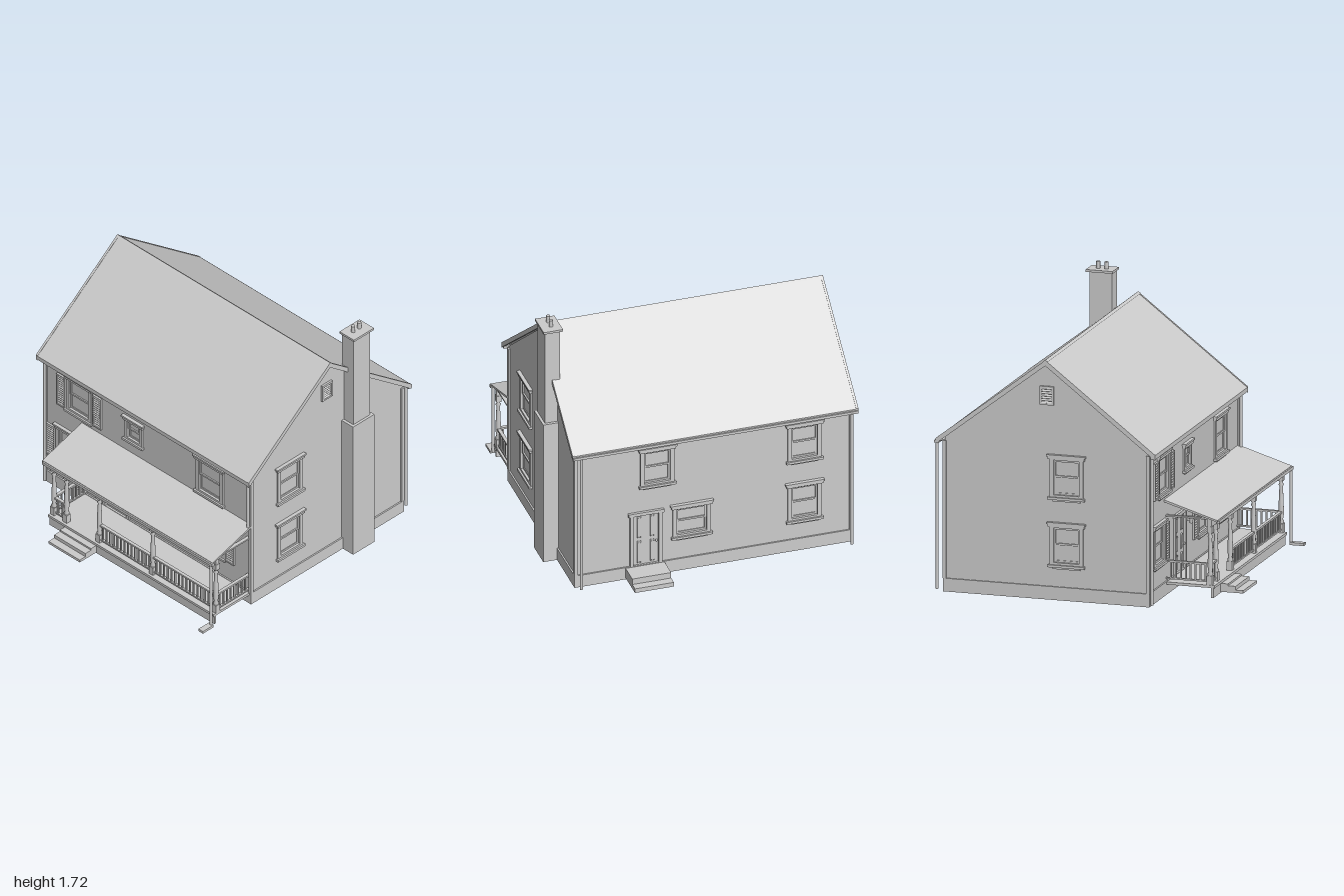
import * as THREE from 'three';

const grey = new THREE.MeshStandardMaterial({ color: 0xcccccc });
grey.name = 'plain grey';
grey.side = THREE.DoubleSide;

function add(parent, geo, name, x = 0, y = 0, z = 0) {
  const m = new THREE.Mesh(geo, grey);
  m.name = name;
  m.position.set(x, y, z);
  parent.add(m);
  return m;
}

// Box given by its limits on each axis
function box(parent, name, x0, x1, y0, y1, z0, z1) {
  return add(parent, new THREE.BoxGeometry(x1 - x0, y1 - y0, z1 - z0), name,
    (x0 + x1) / 2, (y0 + y1) / 2, (z0 + z1) / 2);
}

function group(parent, name) {
  const g = new THREE.Group();
  g.name = name;
  parent.add(g);
  return g;
}

const points = (list) => list.map(([x, y]) => new THREE.Vector2(x, y));
const rect = (x0, x1, y0, y1) => points([[x0, y0], [x1, y0], [x1, y1], [x0, y1]]);
const extrude = (shape, depth) => new THREE.ExtrudeGeometry(shape, { depth, bevelEnabled: false });

// Rectangular frame with an open middle
function frame(parent, name, x0, x1, y0, y1, t, z, depth) {
  const s = new THREE.Shape(rect(x0, x1, y0, y1));
  s.holes.push(new THREE.Path(rect(x0 + t, x1 - t, y0 + t, y1 - t)));
  return add(parent, extrude(s, depth), name, 0, 0, z);
}

// Profile in (z, y) extruded along x
function alongX(parent, name, profile, x0, x1) {
  const m = add(parent, extrude(new THREE.Shape(points(profile.map(([z, y]) => [-z, y]))), x1 - x0), name, x0);
  m.rotation.y = Math.PI / 2;
  return m;
}

// Sash window on a wall whose outer face is z = 0
function addWindow(wall, { u, w, y0, y1 }) {
  const g = group(wall, 'window');
  const a = u - w / 2, b = u + w / 2, t = 0.026, mid = (y0 + y1) / 2;
  frame(g, 'windowCasing', a, b, y0, y1 - 0.01, t, -0.015, 0.025);
  box(g, 'windowCrown', a - 0.008, b + 0.008, y1 - 0.03, y1 - 0.012, 0, 0.018);
  box(g, 'windowCap', a - 0.016, b + 0.016, y1 - 0.012, y1, 0, 0.024);
  box(g, 'windowSill', a - 0.01, b + 0.01, y0 - 0.004, y0 + 0.012, 0, 0.022);
  box(g, 'windowApron', a + 0.02, b - 0.02, y0 - 0.016, y0 - 0.004, 0, 0.01);
  frame(g, 'upperSash', a + t, b - t, mid - 0.005, y1 - 0.036, 0.012, -0.008, 0.008);
  frame(g, 'lowerSash', a + t, b - t, y0 + t, mid + 0.005, 0.012, -0.014, 0.008);
  box(g, 'windowPane', a + t, b - t, y0 + t, y1 - 0.036, -0.014, -0.011);
}

// Louvred panel, used for shutters and gable vents
function louvre(wall, name, x0, x1, y0, y1, t) {
  const g = group(wall, name);
  frame(g, name + 'Frame', x0, x1, y0, y1, t, 0, 0.014);
  const n = Math.round((y1 - y0) / 0.016);
  for (let i = 1; i < n; i++) {
    const s = box(g, name + 'Slat', x0 + t, x1 - t, -0.005, 0.005, 0, 0.004);
    s.position.y = y0 + (y1 - y0) * i / n;
    s.position.z = 0.007;
    s.rotation.x = -0.6;
  }
}

function addDoor(wall, { u, w, y0, y1 }, rows) {
  const g = group(wall, 'door');
  const a = u - w / 2, b = u + w / 2, t = 0.022;
  box(g, 'doorSlab', a + t, b - t, y0, y1 - t, -0.014, -0.004);
  for (const s of [-1, 1]) {
    box(g, 'doorJamb', u + s * (w / 2 - t / 2) - t / 2, u + s * (w / 2 - t / 2) + t / 2, y0, y1, -0.015, 0.012);
    for (let r = 0; r < rows; r++) {
      const h = (y1 - t - y0) / rows, yc = y0 + h * (r + 0.5), xc = u + s * (w / 4 - t / 2 + 0.002);
      const pw = w / 4 - t / 2 - 0.014;
      const p = add(g, new THREE.CylinderGeometry(0.6, 0.7071, 0.008, 4, 1), 'doorPanel', xc, yc, -0.001);
      p.geometry.rotateY(Math.PI / 4).rotateX(Math.PI / 2).scale(pw, h - 0.02, 1);
    }
  }
  box(g, 'doorHead', a - 0.012, b + 0.012, y1 - t, y1, -0.015, 0.018);
  add(g, new THREE.SphereGeometry(0.008, 10, 8), 'doorKnob', b - t - 0.014, y0 + 0.16, 0.006);
}

// Wall with openings; local z points outwards
function addWall(house, name, outline, x, z, turn, windows, doors = []) {
  const g = group(house, name);
  g.position.set(x, 0, z);
  g.rotation.y = turn;
  const s = new THREE.Shape(points(outline));
  for (const o of [...windows, ...doors]) {
    const t = doors.includes(o) ? 0.012 : 0.02;
    s.holes.push(new THREE.Path(rect(o.u - o.w / 2 + t, o.u + o.w / 2 - t, doors.includes(o) ? o.y0 : o.y0 + t, o.y1 - t)));
  }
  add(g, extrude(s, 0.016), name + 'Panel', 0, 0, -0.016);
  windows.forEach((o) => addWindow(g, o));
  doors.forEach((o) => addDoor(g, o, o.rows));
  return g;
}

export function createModel() {
  const house = new THREE.Group();
  house.name = 'house';
  const L = -0.935, R = 0.87, F = 0.535, B = -0.8, ridge = -0.13;

  // Four walls
  const win = (u, y0, y1, w = 0.222) => ({ u, y0, y1, w });
  const front = addWall(house, 'frontWall', [[L, 0], [R, 0], [R, 0.99], [L, 0.99]], 0, F, 0, [
    win(-0.64, 0.65, 0.93), win(-0.16, 0.7, 0.885, 0.155), win(0.51, 0.63, 0.915, 0.24),
    win(-0.73, 0.215, 0.495), win(0.155, 0.215, 0.495), win(0.535, 0.215, 0.495),
  ], [{ u: -0.31, w: 0.23, y0: 0.085, y1: 0.47, rows: 3 }]);
  const back = addWall(house, 'backWall', [[-R, 0], [-L, 0], [-L, 0.99], [-R, 0.99]], 0, B, Math.PI, [
    win(-0.335, 0.645, 0.93), win(0.63, 0.645, 0.93), win(0.63, 0.21, 0.495), win(-0.11, 0.235, 0.48, 0.25),
  ], [{ u: -0.41, w: 0.21, y0: 0.085, y1: 0.47, rows: 2 }]);
  const gable = (s) => {
    const o = [[-F * s, 0], [-F * s, 0.99], [-ridge * s, 1.51], [-B * s, 0.99], [-B * s, 0]];
    return s > 0 ? o.reverse() : o;
  };
  const right = addWall(house, 'chimneySideWall', gable(1), R, 0, Math.PI / 2,
    [win(-0.195, 0.65, 0.935), win(-0.195, 0.215, 0.5)]);
  const left = addWall(house, 'plainSideWall', gable(-1), L, 0, -Math.PI / 2,
    [win(0.0, 0.65, 0.935), win(0.0, 0.215, 0.5)]);
  louvre(right, 'gableVent', 0.083, 0.174, 1.25, 1.37, 0.012);
  louvre(left, 'gableVent', -0.174, -0.083, 1.25, 1.37, 0.012);

  // Shutters beside the front windows
  for (const [x, y] of [[-0.795, 0.655], [-0.48, 0.655], [-0.89, 0.22], [-0.575, 0.22],
    [-0.005, 0.22], [0.31, 0.22], [0.385, 0.22], [0.69, 0.22]])
    louvre(front, 'shutter', x - 0.038, x + 0.038, y, y + 0.24, 0.009);

  // Plinth ring and corner boards
  const ring = new THREE.Shape(rect(L - 0.01, R + 0.01, -F - 0.01, -B + 0.01));
  ring.holes.push(new THREE.Path(rect(L + 0.025, R - 0.025, -F + 0.025, -B - 0.025)));
  add(house, extrude(ring, 0.085), 'plinth').rotation.x = -Math.PI / 2;
  for (const x of [L, R]) for (const z of [F, B])
    box(house, 'cornerBoard', x - 0.012, x + 0.012, 0.085, 0.97, z - 0.012, z + 0.012);

  // Gabled roof, verge boards, ridge cap and gutters
  const slab = (d, h) => [[0.59, 0.985 - d], [ridge, 1.54 - d], [-0.85, 0.985 - d],
    [-0.85, 0.985 - d - h], [ridge, 1.54 - d - h], [0.59, 0.985 - d - h]];
  alongX(house, 'roof', slab(0, 0.025), -0.965, 0.9);
  for (const x of [-0.97, 0.89]) alongX(house, 'vergeBoard', slab(-0.003, 0.036), x, x + 0.015);
  alongX(house, 'ridgeCap', [[ridge + 0.016, 1.533], [ridge, 1.545], [ridge - 0.016, 1.533], [ridge, 1.525]], -0.97, 0.905);
  for (const [z, s] of [[0.575, 1], [-0.845, -1]]) {
    box(house, 'gutter', -0.965, 0.9, 0.957, 0.975, z - 0.015, z + 0.015);
    const w = s > 0 ? F : B;
    box(house, 'soffit', L, R, 0.965, 0.975, Math.min(w, z), Math.max(w, z));
  }

  // Downpipes from the main gutters
  const pipe = (x, z, y0, y1) => add(house, new THREE.CylinderGeometry(0.01, 0.01, y1 - y0, 10), 'downpipe', x, (y0 + y1) / 2, z);
  pipe(0.85, -0.855, 0.01, 0.96);
  pipe(-0.925, -0.855, 0.01, 0.96);
  pipe(-0.925, 0.557, 0.01, 0.96);
  pipe(0.865, 0.557, 0.6, 0.96);

  // Chimney
  box(house, 'chimneyBase', R, 0.97, 0, 1.0, -0.455, -0.267);
  box(house, 'chimneyStack', 0.855, 0.953, 1.0, 1.66, -0.436, -0.286);
  box(house, 'chimneyCap', 0.84, 0.967, 1.66, 1.675, -0.455, -0.278);
  for (const z of [-0.338, -0.392])
    add(house, new THREE.CylinderGeometry(0.013, 0.013, 0.05, 16), 'chimneyPot', 0.9, 1.695, z);

  // Porch deck, roof and beams
  const porch = group(house, 'porch');
  box(porch, 'porchFloor', -0.595, 0.865, 0.065, 0.082, F, 0.86);
  box(porch, 'porchSkirt', -0.59, 0.86, 0, 0.065, 0.835, 0.85);
  alongX(porch, 'porchRoof', [[F, 0.615], [0.885, 0.508], [0.885, 0.496], [F, 0.6]], -0.62, 0.88);
  box(porch, 'porchGutter', -0.61, 0.885, 0.485, 0.505, 0.875, 0.895);
  box(porch, 'porchBeam', -0.59, 0.865, 0.455, 0.5, 0.812, 0.838);
  for (const x of [-0.575, 0.85]) box(porch, 'sideBeam', x - 0.012, x + 0.012, 0.5, 0.51, F, 0.87);

  // Turned posts
  const postProfile = points([[0.012, 0.13], [0.019, 0.15], [0.012, 0.165], [0.018, 0.2], [0.015, 0.3],
    [0.011, 0.38], [0.017, 0.39], [0.011, 0.4], [0.014, 0.42]]);
  const postX = [-0.575, -0.465, -0.175, 0.295, 0.85];
  for (const x of postX) {
    add(porch, new THREE.LatheGeometry(postProfile, 12), 'post', x, 0, 0.825);
    box(porch, 'postFoot', x - 0.018, x + 0.018, 0.082, 0.14, 0.807, 0.843);
    box(porch, 'postHead', x - 0.017, x + 0.017, 0.415, 0.458, 0.808, 0.842);
  }

  // Railings, built along local x
  function railing(len, x, z, turn) {
    const g = group(porch, 'railing');
    g.position.set(x, 0, z);
    g.rotation.y = turn;
    box(g, 'topRail', 0, len, 0.208, 0.22, -0.011, 0.011);
    box(g, 'bottomRail', 0, len, 0.098, 0.108, -0.008, 0.008);
    const n = Math.max(3, Math.round(len / 0.032));
    for (let i = 1; i < n; i++)
      box(g, 'baluster', len * i / n - 0.005, len * i / n + 0.005, 0.108, 0.208, -0.005, 0.005);
  }
  for (const i of [0, 2, 3]) railing(postX[i + 1] - postX[i], postX[i], 0.825, 0);
  for (const x of [-0.575, 0.85]) railing(0.29, x, 0.825, Math.PI / 2);

  // Porch downpipe with its splash foot
  pipe(0.865, 0.885, 0.01, 0.49);
  box(house, 'splashFoot', 0.845, 0.885, 0.005, 0.022, 0.88, 0.975);

  // Wall lamp beside the door
  box(house, 'lampBracket', -0.18, -0.16, 0.38, 0.395, F, 0.56);
  add(house, new THREE.CylinderGeometry(0.016, 0.011, 0.045, 8), 'lamp', -0.17, 0.385, 0.567);

  // Front and back steps
  [[0.9, 0.062], [0.95, 0.05], [1.0, 0.026]].forEach(([z, y]) => {
    box(house, 'frontStep', -0.45, -0.175, 0.008, y, 0.85, z);
  });
  box(house, 'backStep', 0.29, 0.545, 0.01, 0.08, -0.945, B);
  box(house, 'backStep', 0.29, 0.545, 0.01, 0.04, -1.0, -0.94);
  return house;
}
